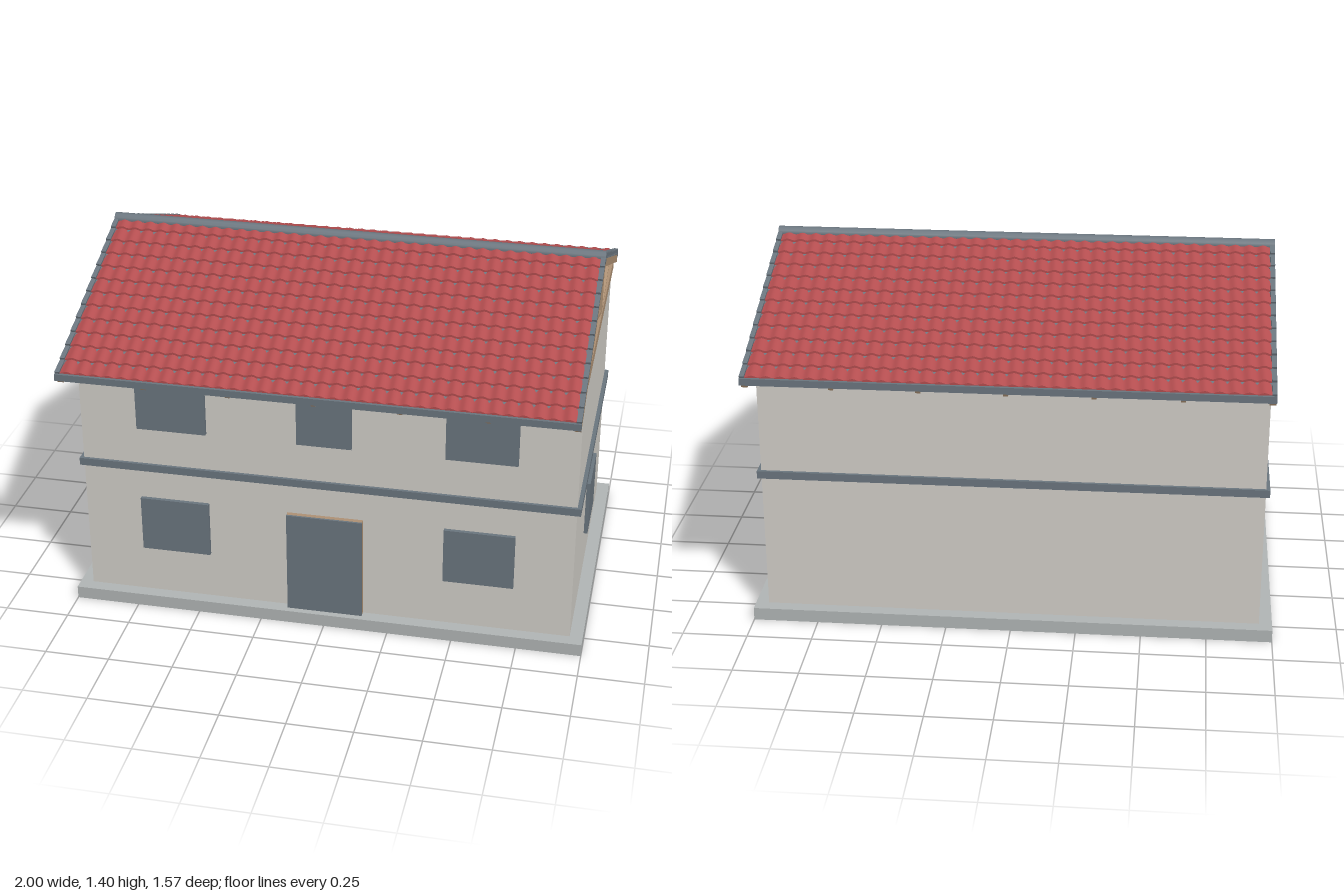
import * as THREE from 'three';
import { mergeGeometries } from 'three/addons/utils/BufferGeometryUtils.js';

const SLOPE = 0.4, EAVE = 0.775, ROWS = 12, COLS = 36;

function material(name, color) {
  const m = new THREE.MeshStandardMaterial({ color });
  m.name = name;
  return m;
}

export function createModel() {
  const wall = material('plaster', 0xd4d1cb);
  const stone = material('stone', 0xb3b7b7);
  const slate = material('slate', 0x6c7780);
  const red = material('redTile', 0xb54e50);
  const wood = material('wood', 0xb09376);

  const house = new THREE.Group();
  house.name = 'house';

  function add(parent, name, geometry, mat) {
    const mesh = new THREE.Mesh(geometry, mat);
    mesh.name = name;
    parent.add(mesh);
    return mesh;
  }
  // Box given by its extents on each axis
  function box(parent, name, x0, x1, y0, y1, z0, z1, mat) {
    const m = add(parent, name, new THREE.BoxGeometry(x1 - x0, y1 - y0, z1 - z0), mat);
    m.position.set((x0 + x1) / 2, (y0 + y1) / 2, (z0 + z1) / 2);
    return m;
  }
  // Bar running between two points of a plane at constant x
  function bar(parent, name, x, width, z0, y0, z1, y1, thick, mat) {
    const m = add(parent, name, new THREE.BoxGeometry(width, thick, Math.hypot(z1 - z0, y1 - y0)), mat);
    m.position.set(x, (y0 + y1) / 2, (z0 + z1) / 2);
    m.rotation.x = -Math.atan2(y1 - y0, z1 - z0);
    return m;
  }

  // Foundation, walls and the band between the floors
  box(house, 'foundation', -1, 1, 0, 0.05, -0.62, 0.62, stone);
  box(house, 'walls', -0.95, 0.95, 0.05, 1.108, -0.57, 0.57, wall);
  box(house, 'floorBand', -0.965, 0.965, 0.59, 0.62, -0.582, 0.582, slate);

  // Attic wall filling both gables
  const gable = new THREE.Shape();
  gable.moveTo(-0.56, 1.1);
  gable.lineTo(0.56, 1.1);
  gable.lineTo(0.56, 1.14);
  gable.lineTo(0, 1.36);
  gable.lineTo(-0.56, 1.14);
  const gableGeo = new THREE.ExtrudeGeometry(gable, { depth: 1.87, bevelEnabled: false });
  gableGeo.translate(0, 0, -0.935).rotateY(Math.PI / 2);
  add(house, 'gableWall', gableGeo, wall);

  // Front windows and door
  for (const s of [-1, 1]) {
    for (const y of [0.245, 0.775]) {
      box(house, 'frontWindow', s * 0.592 - 0.135, s * 0.592 + 0.135, y, y + 0.225, 0.565, 0.585, slate);
    }
    box(house, 'sideWindow', s * 0.955 - 0.01, s * 0.955 + 0.01, 0.243, 0.47, -0.125, 0.127, slate);
  }
  box(house, 'middleWindow', -0.106, 0.104, 0.775, 1.0, 0.565, 0.585, slate);
  box(house, 'doorFrame', -0.148, 0.146, 0.05, 0.468, 0.565, 0.588, wood);
  box(house, 'doorPanel', -0.148, 0.146, 0.05, 0.468, 0.588, 0.596, slate);

  // Timber trusses, the outer two standing in the gables
  for (let i = -3; i <= 3; i++) {
    const outer = Math.abs(i) === 3;
    const x = outer ? Math.sign(i) * 0.947 : i * 0.316;
    const w = outer ? 0.024 : 0.018;
    const truss = new THREE.Group();
    truss.name = 'truss';
    house.add(truss);
    box(truss, 'tieBeam', x - w / 2, x + w / 2, 1.133, 1.157, -0.57, 0.57, wood);
    if (outer) box(truss, 'wallPlate', x - w / 2, x + w / 2, 1.108, 1.133, -0.535, 0.535, wood);
    bar(truss, 'kingPost', x, w * 0.8, 0, 1.15, 0, 1.35, 0.012, wood);
    for (const s of [-1, 1]) {
      bar(truss, 'rafter', x, w, 0, 1.358, s * 0.765, 1.358 - SLOPE * 0.765, 0.03, wood);
      bar(truss, 'strut', x, w * 0.8, 0, 1.155, s * 0.27, 1.245, 0.011, wood);
    }
  }
  for (const s of [-1, 1]) {
    box(house, 'eavePlate', -0.95, 0.95, 1.108, 1.133, s * 0.556 - 0.012, s * 0.556 + 0.012, wood);
  }

  // Smooth strip between two lines of points across the roof
  const SEG = COLS * 6, HALF = 0.942;
  function strip(upper, lower) {
    const pos = [], index = [];
    for (let i = 0; i <= SEG; i++) {
      const x = -HALF + (2 * HALF * i) / SEG;
      const roll = 0.007 * Math.pow(Math.sin((Math.PI * COLS * i) / SEG), 2);
      pos.push(x, upper.y + roll * upper.k, upper.z, x, lower.y + roll * lower.k, lower.z);
      if (i < SEG) {
        const a = i * 2;
        index.push(a, a + 1, a + 3, a, a + 3, a + 2);
      }
    }
    const g = new THREE.BufferGeometry();
    g.setAttribute('position', new THREE.Float32BufferAttribute(pos, 3));
    g.setIndex(index);
    g.computeVertexNormals();
    return g;
  }

  // One roof slope; the other is the same turned round
  function roofSlope() {
    const slope = new THREE.Group();
    slope.name = 'roofSlope';
    bar(slope, 'roofDeck', 0, 1.9, 0, 1.381, EAVE, 1.381 - SLOPE * EAVE, 0.012, slate);

    // Overlapping courses of rolled tiles
    const strips = [];
    const step = EAVE / ROWS;
    for (let r = 0; r < ROWS; r++) {
      const z0 = r * step, z1 = z0 + step;
      const y0 = 1.386 - SLOPE * z0, y1 = 1.386 - SLOPE * z1;
      strips.push(strip({ y: y0, z: z0, k: 1 }, { y: y1 + 0.008, z: z1, k: 1 }));
      strips.push(strip({ y: y1 + 0.008, z: z1, k: 1 }, { y: y1 - 0.002, z: z1, k: 0 }));
      // Stepped verge caps along both gable edges
      for (const s of [-1, 1]) {
        bar(slope, 'vergeCap', s * 0.951, 0.018, z0, y0 - 0.001, z1 + 0.004, y1 + 0.006, 0.016, slate);
      }
    }
    add(slope, 'tiles', mergeGeometries(strips), red);

    for (const s of [-1, 1]) {
      bar(slope, 'vergeBoard', s * 0.949, 0.018, 0, 1.381, EAVE, 1.381 - SLOPE * EAVE, 0.014, slate);
    }
    box(slope, 'gutter', -0.96, 0.96, 1.056, 1.082, 0.762, 0.787, slate);
    return slope;
  }
  house.add(roofSlope());
  const back = roofSlope();
  back.rotation.y = Math.PI;
  house.add(back);

  // Ridge cap
  const ridge = add(house, 'ridgeCap', new THREE.CylinderGeometry(0.024, 0.024, 1.92, 12), slate);
  ridge.rotation.z = Math.PI / 2;
  ridge.position.y = 1.381;

  return house;
}
